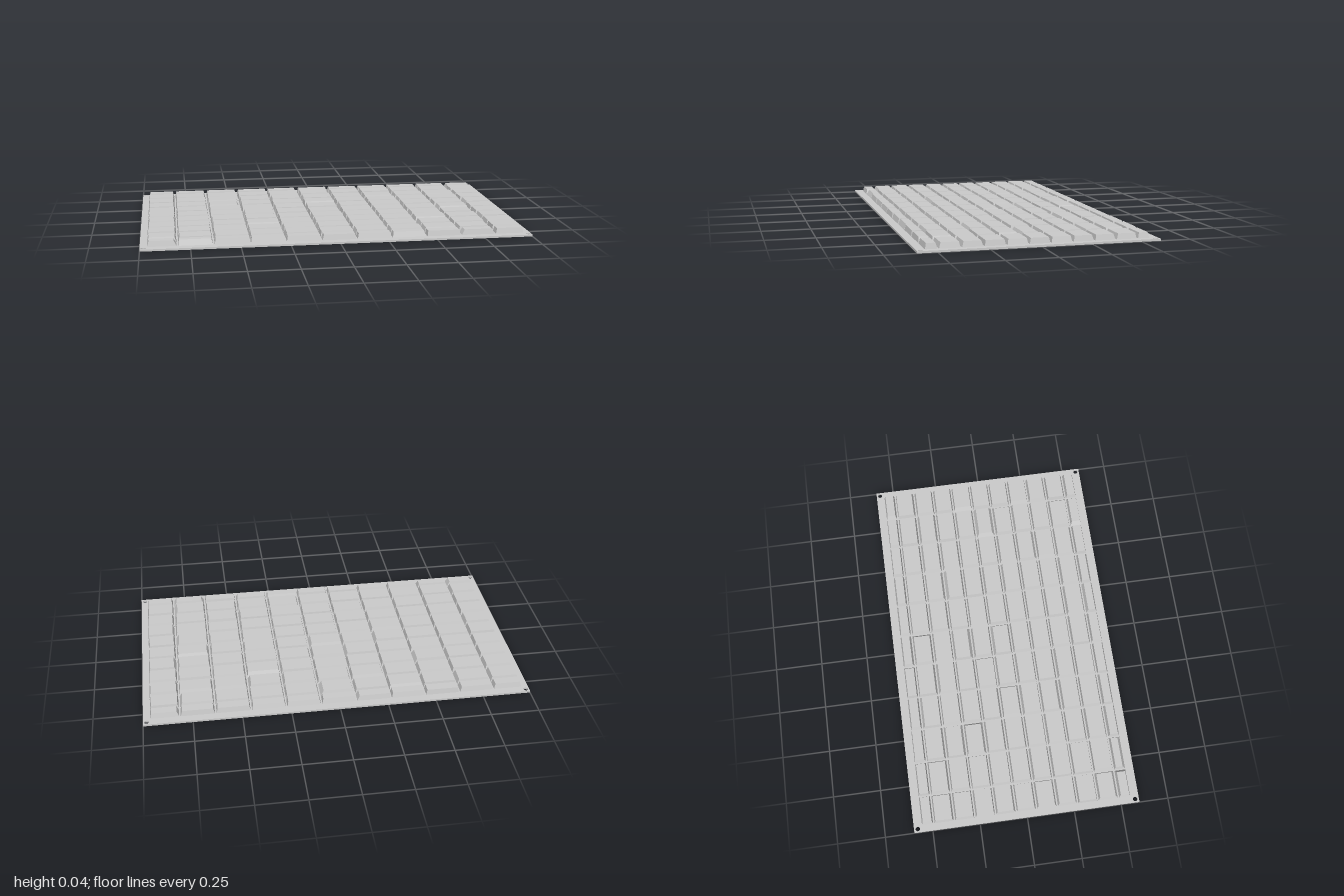
import * as THREE from 'three';

const PLATE = { w: 2, d: 1.194, h: 0.01 };
const TILE_TOP = 0.038;
const JOINT = 0.004; // half-gap between tile feet

// Boundaries of 11 bands: nine full ones and two narrower edge bands
function bands(pitch, outer) {
  const edges = [-outer];
  for (let i = 0; i < 10; i++) edges.push((i - 4.5) * pitch);
  edges.push(outer);
  return edges;
}

// Small seeded generator for the uneven tile bevels
function seeded(seed) {
  let s = seed;
  return () => (s = (s * 16807) % 2147483647) / 2147483647;
}

// Box whose top face is drawn in by a separate amount on each side
function tileGeometry(w, h, d, inset) {
  const geo = new THREE.BoxGeometry(w, h, d);
  const p = geo.attributes.position;
  for (let i = 0; i < p.count; i++) {
    if (p.getY(i) < 0) continue;
    const x = p.getX(i), z = p.getZ(i);
    p.setX(i, x < 0 ? x + inset[0] : x - inset[1]);
    p.setZ(i, z < 0 ? z + inset[2] : z - inset[3]);
  }
  geo.computeVertexNormals();
  return geo;
}

export function createModel() {
  const root = new THREE.Group();
  root.name = 'tiledPanel';
  const material = new THREE.MeshStandardMaterial({ color: 0xcccccc });

  // Thin backing plate with a fixing hole in each corner
  const x = PLATE.w / 2, z = PLATE.d / 2;
  const outline = new THREE.Shape([
    new THREE.Vector2(-x, -z), new THREE.Vector2(x, -z),
    new THREE.Vector2(x, z), new THREE.Vector2(-x, z),
  ]);
  for (const sx of [-1, 1]) for (const sz of [-1, 1]) {
    const hole = new THREE.Path();
    hole.absarc(sx * (x - 0.018), sz * (z - 0.02), 0.012, 0, Math.PI * 2, true);
    outline.holes.push(hole);
  }
  const plateGeo = new THREE.ExtrudeGeometry(outline, { depth: PLATE.h, bevelEnabled: false, curveSegments: 10 });
  plateGeo.rotateX(-Math.PI / 2);
  const plate = new THREE.Mesh(plateGeo, material);
  plate.name = 'backingPlate';
  root.add(plate);

  // Grid of bevelled tiles
  const tiles = new THREE.Group();
  tiles.name = 'tiles';
  const xs = bands(0.181, 0.968), zs = bands(0.109, 0.557);
  const h = TILE_TOP - PLATE.h;
  const rand = seeded(71);
  const bevel = () => 0.004 + (rand() < 0.2 ? 0.012 : 0.005) * rand();
  for (let c = 0; c < 11; c++) for (let r = 0; r < 11; r++) {
    const w = xs[c + 1] - xs[c] - 2 * JOINT;
    const d = zs[r + 1] - zs[r] - 2 * JOINT;
    const tile = new THREE.Mesh(tileGeometry(w, h, d, [bevel(), bevel(), bevel(), bevel()]), material);
    tile.position.set((xs[c] + xs[c + 1]) / 2, PLATE.h + h / 2, (zs[r] + zs[r + 1]) / 2);
    tile.name = `tile_${c}_${r}`;
    tiles.add(tile);
  }
  root.add(tiles);
  return root;
}
